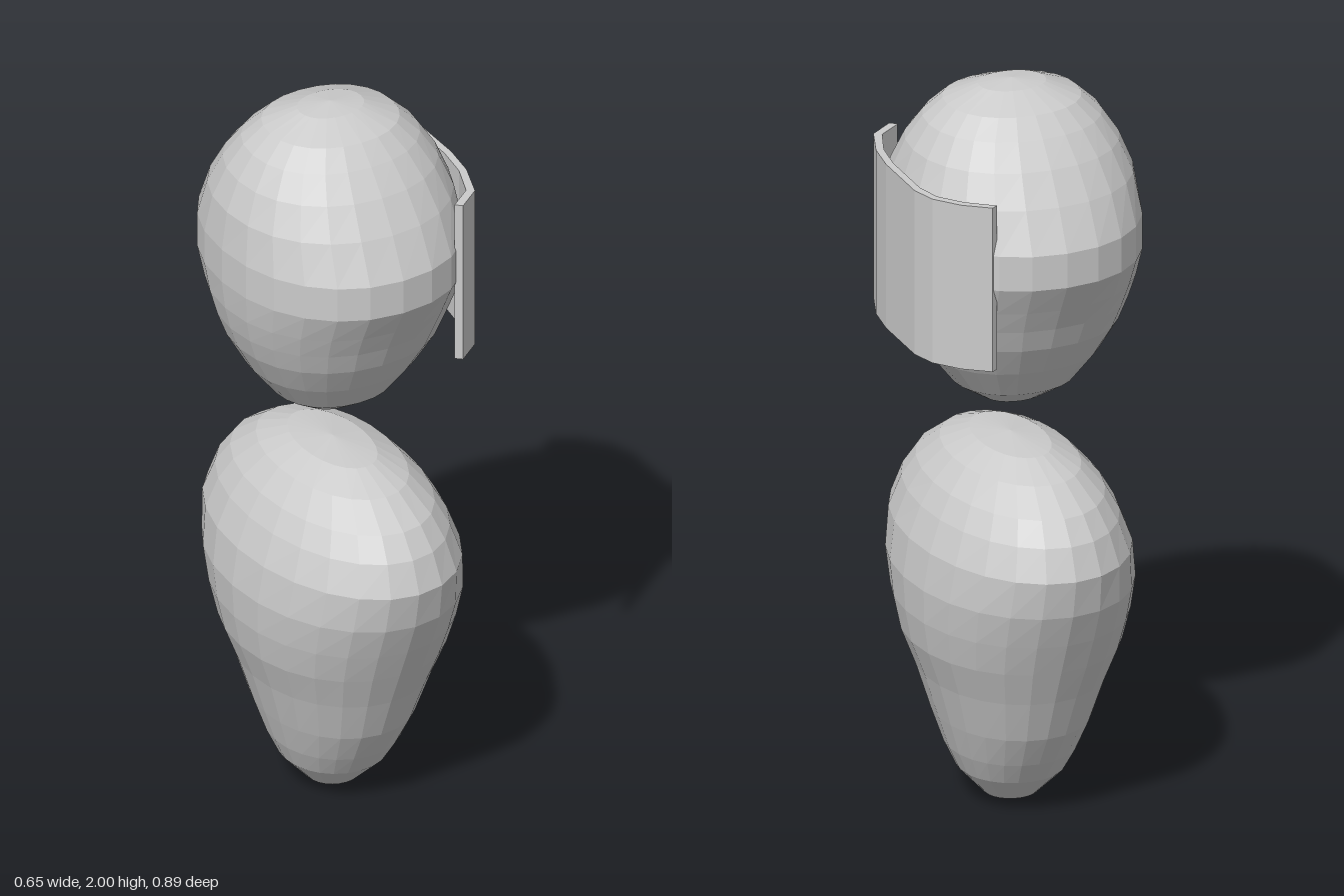
import * as THREE from 'three';

const material = new THREE.MeshStandardMaterial({ color: 0xcccccc, flatShading: true });
const SEGMENTS = 24;

// Closed blob lofted through rings of [y, half width x, half depth z], bottom to top.
function loft(name, rings, power, zOffset, maxX = Infinity) {
  const positions = [], index = [];
  const soft = (v) => Math.sign(v) * Math.pow(Math.abs(v), 2 / power);
  for (const [y, rx, rz] of rings) {
    for (let i = 0; i < SEGMENTS; i++) {
      const a = (i / SEGMENTS) * Math.PI * 2;
      positions.push(Math.min(rx * soft(Math.sin(a)), maxX), y, zOffset + rz * soft(Math.cos(a)));
    }
  }
  for (let r = 0; r < rings.length - 1; r++) {
    for (let i = 0; i < SEGMENTS; i++) {
      const j = (i + 1) % SEGMENTS;
      const a = r * SEGMENTS + i, b = r * SEGMENTS + j;
      const c = a + SEGMENTS, d = b + SEGMENTS;
      if (r > 0) index.push(a, b, d);
      if (r < rings.length - 2) index.push(a, d, c);
      else if (r === rings.length - 2) index.push(a, b, c);
    }
  }
  const geometry = new THREE.BufferGeometry();
  geometry.setAttribute('position', new THREE.Float32BufferAttribute(positions, 3));
  geometry.setIndex(index);
  geometry.computeVertexNormals();
  const mesh = new THREE.Mesh(geometry, material);
  mesh.name = name;
  return mesh;
}

// Curved plate: an outline in plan (x, z), raised from y0 to y1.
function curvedPlate(name, outer, inner, y0, y1) {
  const outline = [...outer, ...inner.slice().reverse()];
  const shape = new THREE.Shape(outline.map(([x, z]) => new THREE.Vector2(x, -z)));
  const geometry = new THREE.ExtrudeGeometry(shape, { depth: y1 - y0, bevelEnabled: false });
  geometry.rotateX(-Math.PI / 2);
  geometry.translate(0, y0, 0);
  const mesh = new THREE.Mesh(geometry, material);
  mesh.name = name;
  return mesh;
}

export function createModel() {
  const group = new THREE.Group();
  group.name = 'floatingFigure';

  // Tapered body, broad from front to back at the top
  group.add(loft('body', [
    [0, 0, 0], [0.02, 0.07, 0.07], [0.095, 0.14, 0.15], [0.16, 0.17, 0.195],
    [0.25, 0.2, 0.25], [0.37, 0.237, 0.3], [0.47, 0.275, 0.345], [0.56, 0.292, 0.385],
    [0.655, 0.298, 0.425], [0.76, 0.283, 0.446], [0.845, 0.25, 0.413], [0.905, 0.215, 0.365],
    [0.965, 0.16, 0.275], [1.003, 0.09, 0.17], [1.015, 0, 0],
  ], 2.06, 0));

  // Egg-shaped head, flattened under the plate, bulging at front and back
  group.add(loft('head', [
    [1.11, 0, 0], [1.127, 0.08, 0.07], [1.178, 0.16, 0.15], [1.26, 0.225, 0.21],
    [1.345, 0.273, 0.265], [1.41, 0.297, 0.295], [1.475, 0.313, 0.33], [1.555, 0.323, 0.375],
    [1.65, 0.323, 0.375], [1.757, 0.308, 0.32], [1.84, 0.275, 0.265], [1.905, 0.232, 0.21],
    [1.953, 0.18, 0.16], [1.99, 0.09, 0.07], [2, 0, 0],
  ], 2.15, -0.01, 0.305));

  // Thin plate wrapped around the left side of the head
  group.add(curvedPlate('sidePlate',
    [[0.21, 0.308], [0.276, 0.255], [0.312, 0.15], [0.325, 0.05], [0.325, -0.05],
      [0.325, -0.143], [0.305, -0.214], [0.252, -0.281], [0.185, -0.33]],
    [[0.193, 0.293], [0.257, 0.242], [0.292, 0.145], [0.305, 0.05], [0.305, -0.05],
      [0.305, -0.13], [0.287, -0.202], [0.238, -0.264], [0.168, -0.318]],
    1.33, 1.785));

  return group;
}
